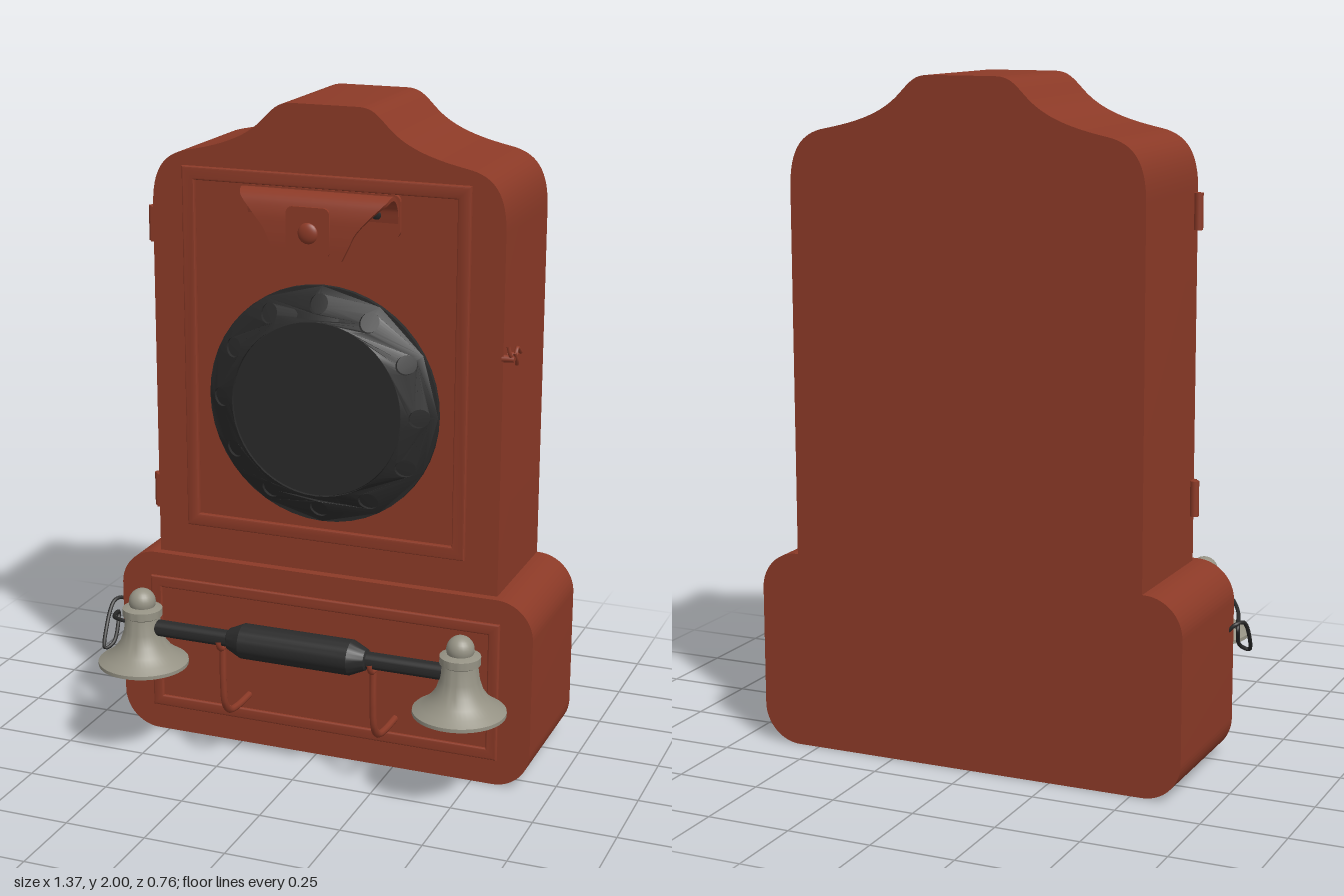
import * as THREE from 'three';
import { toCreasedNormals } from 'three/addons/utils/BufferGeometryUtils.js';

const V2 = (x, y) => new THREE.Vector2(x, y);
const V3 = (x, y, z) => new THREE.Vector3(x, y, z);
const CX = 0.015; // the cabinet sits slightly off centre because of the cord

const wood = new THREE.MeshStandardMaterial({ color: 0x8c3a27 });
wood.name = 'redWood';
const black = new THREE.MeshStandardMaterial({ color: 0x2a2a2a });
black.name = 'blackPlastic';
const metal = new THREE.MeshStandardMaterial({ color: 0x959284, side: THREE.DoubleSide });
metal.name = 'greyMetal';

function add(parent, name, geo, mat, x = 0, y = 0, z = 0) {
  const mesh = new THREE.Mesh(geo, mat);
  mesh.name = name;
  mesh.position.set(x, y, z);
  parent.add(mesh);
  return mesh;
}

const extrude = (shape, depth, opts = {}) => toCreasedNormals(
  new THREE.ExtrudeGeometry(shape, { depth, bevelEnabled: false, curveSegments: 16, ...opts }), 0.6);

const tube = (points, radius, segments = 32) => new THREE.TubeGeometry(
  new THREE.CatmullRomCurve3(points.map(p => V3(...p))), segments, radius, 8);

function roundedRect(x0, y0, x1, y1, r) {
  const s = new THREE.Shape();
  s.absarc(x1 - r, y0 + r, r, -Math.PI / 2, 0);
  s.absarc(x1 - r, y1 - r, r, 0, Math.PI / 2);
  s.absarc(x0 + r, y1 - r, r, Math.PI / 2, Math.PI);
  s.absarc(x0 + r, y0 + r, r, Math.PI, Math.PI * 1.5);
  return s;
}

// Rectangular moulding with softened edges
function moulding(x0, y0, x1, y1, w, depth) {
  const b = 0.006;
  const rect = (i) => [V2(x0 + i, y0 + i), V2(x1 - i, y0 + i), V2(x1 - i, y1 - i), V2(x0 + i, y1 - i)];
  const s = new THREE.Shape(rect(b));
  s.holes.push(new THREE.Path(rect(w - b).reverse()));
  return extrude(s, depth, { bevelEnabled: true, bevelSize: b, bevelThickness: b, bevelSegments: 3 });
}

// Upper cabinet outline with its crested top
function cabinetShape() {
  const s = new THREE.Shape();
  s.moveTo(-0.545, 0.55);
  s.lineTo(0.545, 0.55);
  s.lineTo(0.545, 1.67);
  s.bezierCurveTo(0.545, 1.78, 0.51, 1.83, 0.43, 1.845);
  s.bezierCurveTo(0.33, 1.865, 0.25, 1.89, 0.195, 1.945);
  s.bezierCurveTo(0.16, 1.98, 0.145, 2, 0.10, 2);
  s.lineTo(-0.10, 2);
  s.bezierCurveTo(-0.145, 2, -0.16, 1.98, -0.195, 1.945);
  s.bezierCurveTo(-0.25, 1.89, -0.33, 1.865, -0.43, 1.845);
  s.bezierCurveTo(-0.51, 1.83, -0.545, 1.78, -0.545, 1.67);
  return s;
}

// Round dial: sloped ring with twelve finger holes around a flat centre
function makeDial() {
  const dial = new THREE.Group();
  dial.name = 'dial';
  dial.position.set(CX, 1.12, 0);
  const ring = new THREE.Shape().absarc(0, 0, 0.36, 0, Math.PI * 2);
  ring.holes.push(new THREE.Path().absarc(0, 0, 0.265, 0, Math.PI * 2, true));
  for (let i = 0; i < 12; i++) {
    const a = i * Math.PI / 6;
    ring.holes.push(new THREE.Path().absarc(Math.cos(a) * 0.312, Math.sin(a) * 0.312, 0.028, 0, Math.PI * 2, true));
  }
  const geo = new THREE.ExtrudeGeometry(ring, { depth: 0.015, bevelEnabled: false, curveSegments: 24 });
  const p = geo.attributes.position;
  for (let i = 0; i < p.count; i++) {
    const r = Math.hypot(p.getX(i), p.getY(i));
    p.setZ(i, p.getZ(i) + 0.03 + (0.36 - r) * 0.58);
  }
  add(dial, 'fingerRing', toCreasedNormals(geo, 0.5), black);
  const base = new THREE.LatheGeometry(
    [V2(0.358, 0.02), V2(0.358, 0.034), V2(0.265, 0.088), V2(0.262, 0.096), V2(0, 0.096)], 64);
  base.rotateX(Math.PI / 2);
  add(dial, 'dialBase', toCreasedNormals(base, 0.4), black);
  return dial;
}

// Bent plate with a button at the top of the door
function makeHook() {
  const hook = new THREE.Group();
  hook.name = 'topBracket';
  // x holds the half width along the bend
  const path = new THREE.CatmullRomCurve3([
    [0.232, 1.68, 0.038], [0.232, 1.73, 0.05], [0.232, 1.758, 0.085], [0.222, 1.745, 0.118],
    [0.185, 1.71, 0.136], [0.14, 1.66, 0.143], [0.12, 1.62, 0.145], [0.10, 1.58, 0.145],
  ].map(p => V3(...p)));
  const geo = new THREE.BoxGeometry(2, 1, 0.012, 8, 32, 1);
  const p = geo.attributes.position;
  for (let i = 0; i < p.count; i++) {
    const t = Math.min(1, Math.max(0, 0.5 - p.getY(i)));
    const c = path.getPoint(t), d = path.getTangent(t);
    const n = V2(d.z, -d.y).normalize();
    p.setXYZ(i, p.getX(i) * c.x, c.y + n.x * p.getZ(i), c.z + n.y * p.getZ(i));
  }
  add(hook, 'bentPlate', toCreasedNormals(geo, 0.6), wood, CX);
  add(hook, 'backPlate', extrude(roundedRect(-0.22, 1.635, 0.25, 1.76, 0.02), 0.012), wood, 0, 0, 0.028);
  add(hook, 'buttonPlate', extrude(roundedRect(-0.052, 1.585, 0.08, 1.73, 0.02), 0.008), wood, 0, 0, 0.148);
  const button = add(hook, 'button', new THREE.SphereGeometry(0.031, 24, 16), wood, CX, 1.655, 0.154);
  button.scale.z = 0.45;
  for (const x of [-0.15, 0.18]) {
    const screw = add(hook, 'screw', new THREE.SphereGeometry(0.02, 16, 12), black, x, 1.705, 0.042);
    screw.scale.z = 0.5;
  }
  return hook;
}

// Handset: black bar and grip with a bell-shaped cup at each end
function makeHandset() {
  const handset = new THREE.Group();
  handset.name = 'handset';
  handset.position.set(CX, 0, 0.245);
  const half = [[0.025, 0.47], [0.025, 0.222], [0.032, 0.218], [0.053, 0.172]];
  const profile = [...half.map(([r, x]) => V2(r, -x)), ...half.slice().reverse().map(([r, x]) => V2(r, x))];
  const bar = new THREE.LatheGeometry(profile, 32);
  bar.rotateZ(-Math.PI / 2);
  add(handset, 'bar', toCreasedNormals(bar, 0.4), black, 0, 0.425, 0);
  const cup = toCreasedNormals(new THREE.LatheGeometry([
    [0, 0.40], [0.045, 0.39], [0.07, 0.35], [0.12, 0.315], [0.128, 0.303], [0.137, 0.303],
    [0.137, 0.314], [0.115, 0.328], [0.09, 0.348], [0.07, 0.375], [0.058, 0.41], [0.052, 0.455],
    [0.06, 0.46], [0.06, 0.483], [0.04, 0.49], [0, 0.49],
  ].map(q => V2(...q)), 48), 0.6);
  for (const side of [-1, 1]) {
    add(handset, 'bellCup', cup, metal, side * 0.505, 0, 0);
    add(handset, 'cupKnob', new THREE.SphereGeometry(0.041, 24, 16), metal, side * 0.505, 0.503, 0);
  }
  return handset;
}

export function createModel() {
  const model = new THREE.Group();
  model.name = 'wallTelephone';

  // Cabinet
  add(model, 'upperCabinet', extrude(cabinetShape(), 0.41), wood, CX, 0, -0.383);
  add(model, 'baseCabinet', extrude(roundedRect(-0.65, 0, 0.68, 0.59, 0.115), 0.438), wood, 0, 0, -0.383);
  add(model, 'doorMoulding', moulding(-0.43, 0.69, 0.46, 1.80, 0.04, 0.006), wood, 0, 0, 0.03);
  add(model, 'baseMoulding', moulding(-0.55, 0.08, 0.58, 0.515, 0.036, 0.002), wood, 0, 0, 0.055);

  // Door hinges on one side
  for (const y of [0.782, 1.615]) {
    add(model, 'hinge', new THREE.CylinderGeometry(0.013, 0.013, 0.105, 16), wood, -0.542, y, 0.002);
    add(model, 'hingeLeaf', new THREE.BoxGeometry(0.014, 0.105, 0.03), wood, -0.532, y, 0.012);
  }

  // Door latch on the other side
  const latch = new THREE.Group();
  latch.name = 'latch';
  add(latch, 'latchHook', tube([[0.575, 1.35, 0.03], [0.58, 1.32, 0.022], [0.582, 1.305, -0.01],
    [0.582, 1.33, -0.035], [0.582, 1.31, -0.07]], 0.006), wood);
  for (const z of [0.018, -0.022]) {
    const pin = add(latch, 'latchPin', new THREE.CylinderGeometry(0.009, 0.012, 0.035, 12), wood, 0.573, 1.31, z);
    pin.rotation.z = -Math.PI / 2;
  }
  add(latch, 'latchTail', tube([[0.585, 1.325, 0], [0.588, 1.30, -0.015], [0.585, 1.285, -0.025]], 0.006, 12), wood);
  model.add(latch);

  model.add(makeHook(), makeDial(), makeHandset());

  // Handset rests: bent rod ending in a small fork
  for (const x of [-0.225, 0.255]) {
    const rest = new THREE.Group();
    rest.name = 'handsetRest';
    rest.position.x = x;
    add(rest, 'restRod', tube([[0, 0.162, 0.04], [0, 0.163, 0.15], [0, 0.175, 0.205], [0, 0.21, 0.235],
      [0, 0.28, 0.245], [0, 0.39, 0.245]], 0.011), wood);
    const fork = add(rest, 'restFork', new THREE.TorusGeometry(0.034, 0.008, 8, 20, Math.PI), wood, 0, 0.425, 0.245);
    fork.rotation.set(0, Math.PI / 2, Math.PI, 'YXZ');
    model.add(rest);
  }

  // Cord looping from the handset to the cabinet side
  add(model, 'cord', tube([[-0.50, 0.425, 0.245], [-0.57, 0.43, 0.24], [-0.62, 0.41, 0.18], [-0.655, 0.38, 0.08],
    [-0.64, 0.31, 0.15], [-0.66, 0.295, 0.17], [-0.68, 0.34, 0.12], [-0.68, 0.41, 0.06],
    [-0.665, 0.41, 0.025], [-0.645, 0.39, 0.02]], 0.006, 80), black);

  return model;
}
